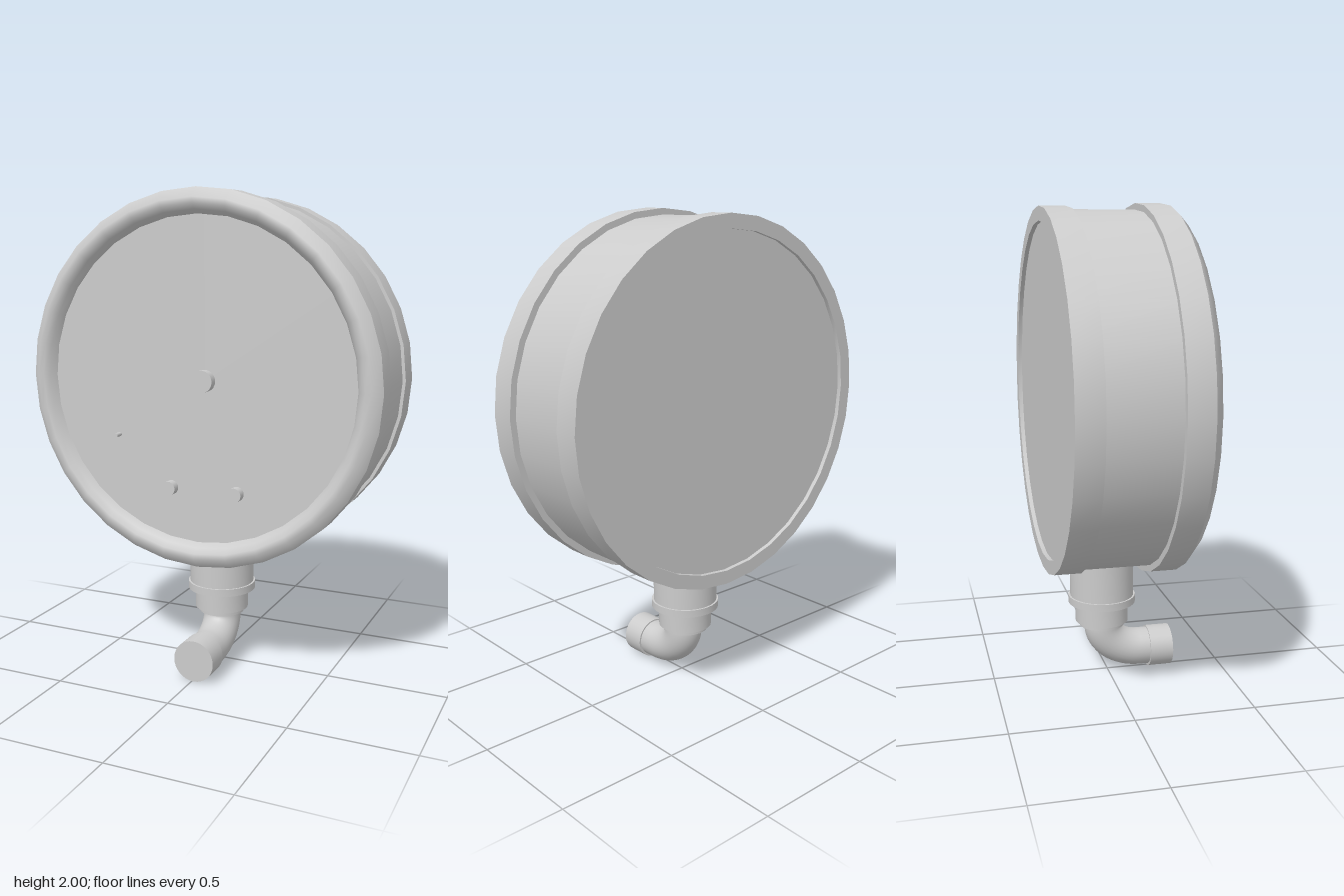
import * as THREE from 'three';
import { toCreasedNormals } from 'three/addons/utils/BufferGeometryUtils.js';

const CENTER_Y = 1.24;
const DIAL_Z = 0.14;
const material = new THREE.MeshStandardMaterial({ color: 0xcccccc });
const thinMaterial = new THREE.MeshStandardMaterial({ color: 0xcccccc, side: THREE.DoubleSide });

export function createModel() {
  const model = new THREE.Group();

  const add = (name, geometry, x, y, z, parent = model, mat = material) => {
    const mesh = new THREE.Mesh(geometry, mat);
    mesh.name = name;
    mesh.position.set(x, y, z);
    parent.add(mesh);
  };
  // Turned part from [radius, height] pairs, listed bottom to top
  const turned = (profile, crease = 0.6) => toCreasedNormals(
    new THREE.LatheGeometry(profile.map(([r, h]) => new THREE.Vector2(r, h)), 32), crease);

  // Round housing, turned about an axis that points to the front
  const housing = new THREE.Group();
  housing.name = 'housing';
  housing.position.y = CENTER_Y;
  model.add(housing);
  const addTurned = (name, profile, crease) =>
    add(name, turned(profile, crease).rotateX(Math.PI / 2), 0, 0, 0, housing, thinMaterial);

  addTurned('drum', [[0.735, -0.26], [0.735, 0.15]]);
  addTurned('rearRing', [
    [0.69, -0.262], [0.69, -0.28], [0.748, -0.28], [0.748, -0.17], [0.73, -0.17],
  ]);
  addTurned('bezelBand', [[0.72, 0.115], [0.761, 0.115], [0.761, 0.222]]);
  // Rounded lip overhanging the recessed dial
  addTurned('bezelLip', [
    [0.761, 0.222], [0.722, 0.257], [0.698, 0.255], [0.676, 0.238], [0.66, 0.208],
  ], 1.2);
  add('dialPlate', new THREE.CircleGeometry(0.735, 32), 0, 0, DIAL_Z, housing);
  add('backPlate', new THREE.CircleGeometry(0.735, 32).rotateY(Math.PI), 0, 0, -0.262, housing);

  // Pins on the dial: name, radius, x, y
  const pinLength = 0.035;
  for (const [name, r, x, y] of [
    ['needleHub', 0.045, 0, CENTER_Y],
    ['rightPin', 0.03, -0.155, 0.783],
    ['leftPin', 0.03, 0.142, 0.783],
    ['stopPin', 0.009, -0.4, 0.99],
  ]) {
    add(name, new THREE.CylinderGeometry(r, r, pinLength, 20).rotateX(Math.PI / 2),
      x, y, DIAL_Z + pinLength / 2);
  }

  // Stepped fitting below the housing
  add('stem', turned([
    [0, 0.213], [0.097, 0.213], [0.097, 0.232], [0.114, 0.232], [0.114, 0.318],
    [0.145, 0.318], [0.145, 0.35], [0.137, 0.35], [0.137, 0.53], [0, 0.53],
  ]), 0.003, 0, -0.024);

  // Elbow pipe turning to the front
  const point = (y, z) => new THREE.Vector3(0, y, z);
  const bendStart = point(0.21, -0.02);
  const bendEnd = point(0.09, 0.14);
  const path = new THREE.CurvePath();
  path.add(new THREE.LineCurve3(point(0.23, -0.02), bendStart));
  path.add(new THREE.CubicBezierCurve3(bendStart, point(0.144, -0.02), point(0.09, 0.052), bendEnd));
  path.add(new THREE.LineCurve3(bendEnd, point(0.09, 0.2)));
  add('elbowPipe', new THREE.TubeGeometry(path, 30, 0.08, 28), 0.008, 0, 0);

  // Collar closing the pipe end
  add('pipeEnd', new THREE.CylinderGeometry(0.088, 0.088, 0.1, 32).rotateX(Math.PI / 2),
    0.008, 0.088, 0.23);

  return model;
}
